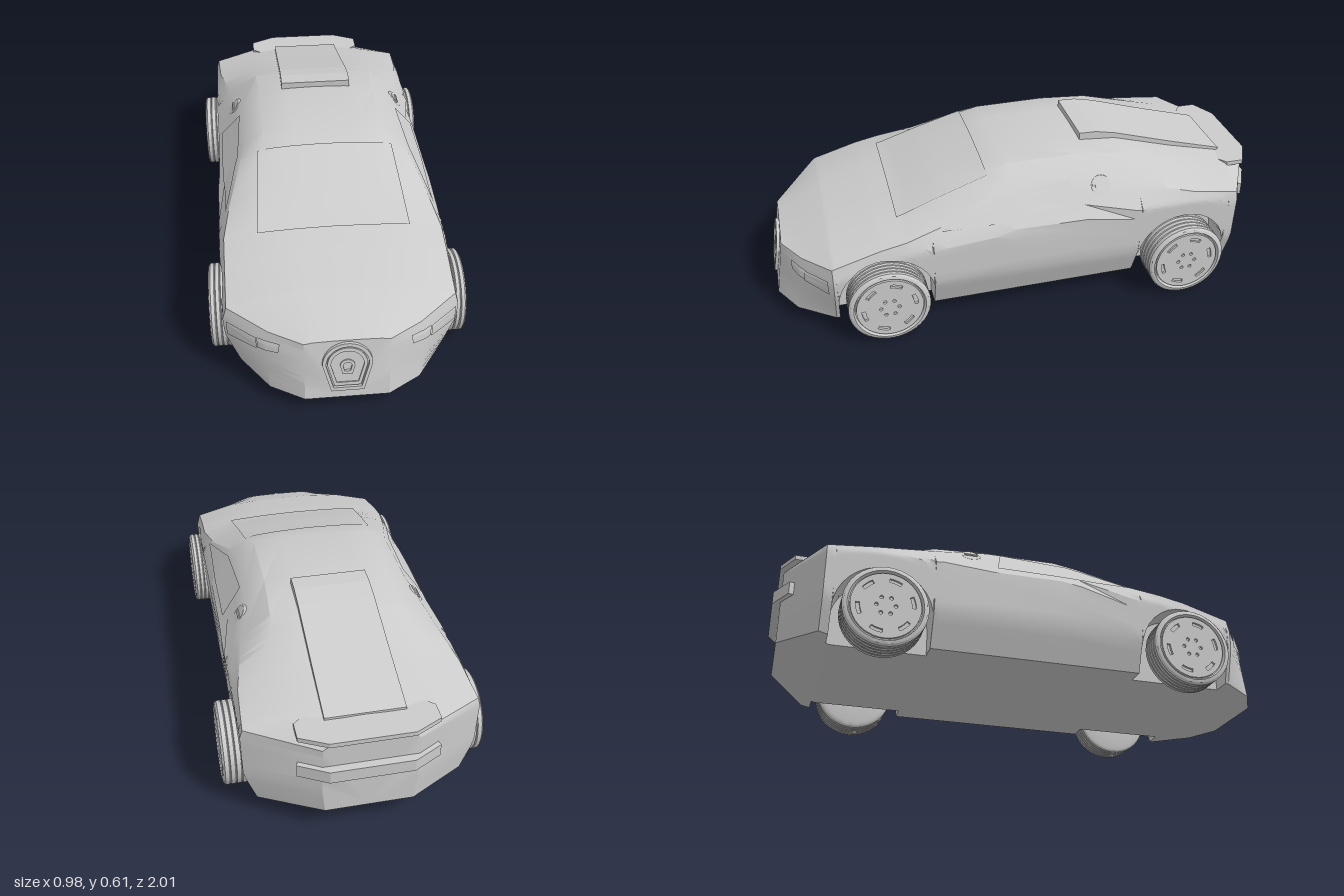
import * as THREE from 'three';
import { toCreasedNormals } from 'three/addons/utils/BufferGeometryUtils.js';

const grey = new THREE.MeshStandardMaterial({ color: 0xcccccc, side: THREE.DoubleSide });
const lerp = THREE.MathUtils.lerp;
const clamp = THREE.MathUtils.clamp;
const AXLES = [0.59, -0.61], AXLE_Y = 0.157, ARCH = 0.185, WELL_X = 0.3;

// Body stations: z, floor w, waist w, belt w/y, shoulder w/y, roof edge w/y, crown y
const STATIONS = [
  [1.00, 0.15, 0.15, 0.15, 0.24, 0.15, 0.298, 0.12, 0.303, 0.305],
  [0.93, 0.27, 0.28, 0.285, 0.25, 0.27, 0.30, 0.17, 0.327, 0.335],
  [0.79, 0.37, 0.42, 0.425, 0.27, 0.41, 0.325, 0.27, 0.362, 0.378],
  [0.60, 0.37, 0.425, 0.43, 0.32, 0.41, 0.38, 0.28, 0.412, 0.424],
  [0.50, 0.37, 0.425, 0.43, 0.35, 0.41, 0.40, 0.28, 0.435, 0.445],
  [0.35, 0.37, 0.425, 0.43, 0.37, 0.385, 0.435, 0.27, 0.49, 0.505],
  [0.16, 0.37, 0.425, 0.43, 0.38, 0.335, 0.51, 0.25, 0.555, 0.568],
  [0.08, 0.37, 0.425, 0.43, 0.385, 0.315, 0.535, 0.24, 0.578, 0.587],
  [-0.20, 0.37, 0.425, 0.425, 0.39, 0.32, 0.53, 0.24, 0.58, 0.592],
  [-0.40, 0.37, 0.425, 0.43, 0.40, 0.36, 0.485, 0.25, 0.56, 0.575],
  [-0.65, 0.37, 0.425, 0.43, 0.40, 0.41, 0.435, 0.27, 0.485, 0.50],
  [-0.83, 0.38, 0.425, 0.43, 0.38, 0.42, 0.41, 0.27, 0.44, 0.455],
  [-0.97, 0.16, 0.17, 0.17, 0.36, 0.17, 0.40, 0.15, 0.415, 0.42],
];

function stationAt(z) {
  let i = 0;
  while (i < STATIONS.length - 2 && z < STATIONS[i + 1][0]) i++;
  const [a, b] = [STATIONS[i], STATIONS[i + 1]];
  return a.map((v, k) => lerp(v, b[k], (z - a[0]) / (b[0] - a[0])));
}

// One closed cross-section, with the wheel well cut in where an axle is near
function sectionAt(z) {
  const [, w0, w1, w2, y2, w3, y3, w4, y4, y5] = stationAt(z);
  const floor = 0.065 + 0.045 * clamp((-z - 0.78) / 0.19, 0, 1);
  const rake = 0.17 * clamp((z - 0.78) / 0.12, 0, 1);
  const side = [[w0, floor], [w1, 0.2], [w2, y2], [w3, y3]];
  const widthAt = (y) => {
    let i = 0;
    while (i < 2 && y > side[i + 1][1]) i++;
    const [p, q] = [side[i], side[i + 1]];
    return lerp(p[0], q[0], (y - p[1]) / (q[1] - p[1]));
  };
  const axle = AXLES.find((c) => Math.abs(z - c) < ARCH + 0.0001);
  const low = axle === undefined ? floor
    : AXLE_Y + Math.sqrt(Math.max(0, ARCH ** 2 - (z - axle) ** 2));
  const inner = axle === undefined ? w0 : WELL_X;
  const half = [[inner, floor], [inner, low]];
  for (let k = 0; k <= 10; k++) {
    const y = lerp(low, y3, k / 10);
    half.push([widthAt(y), y]);
  }
  half.push([w4, y4], [w4 * 0.5, lerp(y4, y5, 0.75)]);
  const ring = [...half, [0, y5], ...half.map(([x, y]) => [-x, y]).reverse()];
  return ring.map(([x, y]) => new THREE.Vector3(x, y, z - rake * (y - floor)));
}

function bodyGeometry() {
  const zs = STATIONS.map((s) => s[0]);
  for (const c of AXLES) {
    zs.push(c + ARCH + 0.0006, c - ARCH - 0.0006);
    for (let t = 0; t <= 16; t++) zs.push(c + ARCH * Math.cos(Math.PI * t / 16));
  }
  const rings = zs.sort((a, b) => b - a).map(sectionAt);
  const pos = [];
  const tri = (a, b, c) => {
    const area = b.clone().sub(a).cross(c.clone().sub(a)).length();
    if (area > 1e-9) for (const p of [a, b, c]) pos.push(p.x, p.y, p.z);
  };
  const n = rings[0].length;
  for (let i = 0; i < rings.length - 1; i++) {
    for (let j = 0; j < n; j++) {
      const k = (j + 1) % n, r = rings[i], s = rings[i + 1];
      tri(r[j], s[j], r[k]);
      tri(s[j], s[k], r[k]);
    }
  }
  // Flat nose and tail
  for (const [r, front] of [[rings[0], true], [rings.at(-1), false]]) {
    const mid = r[0].clone().lerp(r[n - 1], 0.5);
    for (let j = 0; j < n - 1; j++) front ? tri(mid, r[j], r[j + 1]) : tri(mid, r[j + 1], r[j]);
  }
  const geo = new THREE.BufferGeometry();
  geo.setAttribute('position', new THREE.Float32BufferAttribute(pos, 3));
  return toCreasedNormals(geo, 0.5);
}

function add(parent, name, geo) {
  const mesh = new THREE.Mesh(geo, grey);
  mesh.name = name;
  parent.add(mesh);
  return mesh;
}

// A thin panel draped on the body: four corners projected along a direction
function drape(parent, body, name, corners, dir, lift = 0.006) {
  const geo = new THREE.PlaneGeometry(1, 1, 12, 12), p = geo.attributes.position;
  const [a, b, c, d] = corners.map((v) => new THREE.Vector3(...v));
  const ray = new THREE.Raycaster(), look = new THREE.Vector3(...dir);
  for (let i = 0; i < p.count; i++) {
    const u = p.getX(i) + 0.5, v = p.getY(i) + 0.5;
    const at = a.clone().lerp(b, u).lerp(d.clone().lerp(c, u), v);
    ray.set(at.clone().addScaledVector(look, -2), look);
    const hit = ray.intersectObject(body)[0];
    const q = (hit ? hit.point : at).addScaledVector(look, -lift);
    p.setXYZ(i, q.x, q.y, q.z);
  }
  geo.computeVertexNormals();
  add(parent, name, geo);
}

const shapeOf = (pts) => new THREE.Shape(pts.map((p) => new THREE.Vector2(...p)));
const extrude = (shape, depth) =>
  new THREE.ExtrudeGeometry(shape, { depth, bevelEnabled: false, curveSegments: 20 });

// Plan outline (x, z) for one side, mirrored and given a height
function planSlab(half, top, thick) {
  const pts = [...half, ...half.map(([x, z]) => [-x, z]).reverse()];
  return extrude(shapeOf(pts), thick).rotateX(Math.PI / 2).translate(0, top, 0);
}

// Horseshoe outline
function horseshoe(s, cy = 0.2) {
  const r = 0.088 * s, sh = new THREE.Shape();
  sh.moveTo(-0.058 * s, cy - 0.1 * s);
  sh.lineTo(0.058 * s, cy - 0.1 * s);
  sh.lineTo(r, cy + 0.012 * s);
  sh.absarc(0, cy + 0.012 * s, r, 0, Math.PI);
  return sh;
}

// Wheel along +x, outer face at x = 0
function wheel(width) {
  const g = new THREE.Group();
  const R = 0.157, prof = [[0.05, -width], [0.135, -width], [0.15, -width + 0.004]];
  const bands = 5, step = (width - 0.012) / bands;
  for (let i = 0; i < bands; i++) {
    const y = -width + 0.006 + i * step;
    prof.push([R - 0.005, y], [R, y + 0.003], [R, y + step - 0.003], [R - 0.005, y + step]);
  }
  prof.push([0.15, -0.003], [0.138, 0], [0.132, -0.012], [0, -0.012]);
  const tyre = new THREE.LatheGeometry(prof.map((q) => new THREE.Vector2(...q)), 40);
  add(g, 'tyre', toCreasedNormals(tyre.rotateZ(-Math.PI / 2), 0.5));
  // Hub cap with a ring of curved slots and small bolt holes
  const cap = new THREE.Shape().absarc(0, 0, 0.128, 0, Math.PI * 2);
  for (let i = 0; i < 6; i++) {
    const a = i * Math.PI / 3;
    const slot = new THREE.Path().absarc(0, 0, 0.108, a, a + 0.45);
    slot.absarc(0, 0, 0.094, a + 0.45, a, true);
    const bolt = new THREE.Path().absarc(0.035 * Math.cos(a), 0.035 * Math.sin(a), 0.007, 0, 6.283);
    cap.holes.push(slot, bolt);
  }
  add(g, 'hubCap', extrude(cap, 0.009).rotateY(Math.PI / 2).translate(-0.012, 0, 0));
  return g;
}

export function createModel() {
  const car = new THREE.Group();
  car.name = 'car';
  const body = add(car, 'body', bodyGeometry());

  // Glass and lamps follow the body
  drape(car, body, 'windshield',
    [[-0.285, 0, 0.52], [0.285, 0, 0.52], [0.265, 0, 0.16], [-0.265, 0, 0.16]], [0, -1, 0]);
  for (const s of [1, -1]) {
    const side = s > 0 ? 'left' : 'right';
    drape(car, body, side + 'Window',
      [[0, 0.42, 0.37], [0, 0.42, -0.18], [0, 0.525, -0.15], [0, 0.505, 0.12]], [-s, 0, 0]);
    drape(car, body, side + 'Headlight',
      [[s * 0.31, 0.224, 0], [s * 0.412, 0.218, 0], [s * 0.412, 0.278, 0], [s * 0.31, 0.268, 0]], [0, 0, -1], 0.01);
    drape(car, body, side + 'Indicator',
      [[s * 0.237, 0.235, 0], [s * 0.308, 0.226, 0], [s * 0.308, 0.268, 0], [s * 0.23, 0.272, 0]], [0, 0, -1], 0.006);

    // Round filler caps behind the windows
    const filler = new THREE.Group();
    filler.name = side + 'FillerCap';
    add(filler, 'rim', new THREE.TorusGeometry(0.035, 0.007, 8, 28));
    add(filler, 'disc', new THREE.CylinderGeometry(0.035, 0.035, 0.016, 28).rotateX(Math.PI / 2));
    add(filler, 'handle', new THREE.BoxGeometry(0.05, 0.01, 0.026));
    filler.position.set(s * 0.348, 0.487, -0.275);
    filler.lookAt(s * (0.348 + 0.81), 0.487 + 0.58, -0.275);
    car.add(filler);

    AXLES.forEach((z, i) => {
      const w = wheel(i ? 0.12 : 0.105);
      w.name = side + (i ? 'RearWheel' : 'FrontWheel');
      w.position.set(s * (i ? 0.492 : 0.476), AXLE_Y, z);
      if (s < 0) w.rotation.y = Math.PI;
      car.add(w);
    });
  }

  // Nose grille: nested horseshoe frames leaning with the nose
  const grille = new THREE.Group();
  grille.name = 'grille';
  [[1, 0.86, 0.012], [0.8, 0.66, 0.009], [0.66, 0.3, 0.005], [0.3, 0.18, 0.009]].forEach(([o, i, d]) => {
    const ring = horseshoe(o, 0);
    ring.holes.push(horseshoe(i, 0));
    add(grille, 'grilleFrame', extrude(ring, d));
  });
  grille.position.set(0, 0.2, 0.977);
  grille.rotation.x = -0.168;
  car.add(grille);

  // Raised spine from the roof down to the tail
  const spine = shapeOf([[-0.25, 0.57], [-0.25, 0.611], [-0.32, 0.609], [-0.4, 0.592],
    [-0.65, 0.515], [-0.87, 0.452], [-0.87, 0.42], [-0.65, 0.47], [-0.4, 0.54]]);
  add(car, 'roofSpine', extrude(spine, 0.29).rotateY(-Math.PI / 2).translate(0.145, 0, 0));

  // Tail spoiler and wrapped rear lamp bar
  add(car, 'spoiler', planSlab([[0.22, -0.84], [0.25, -0.865], [0.25, -0.935], [0.15, -0.985]], 0.443, 0.018));
  add(car, 'rearLampBar', planSlab([[0.24, -0.9], [0.255, -0.945], [0.15, -1.0]], 0.325, 0.05));
  return car;
}
